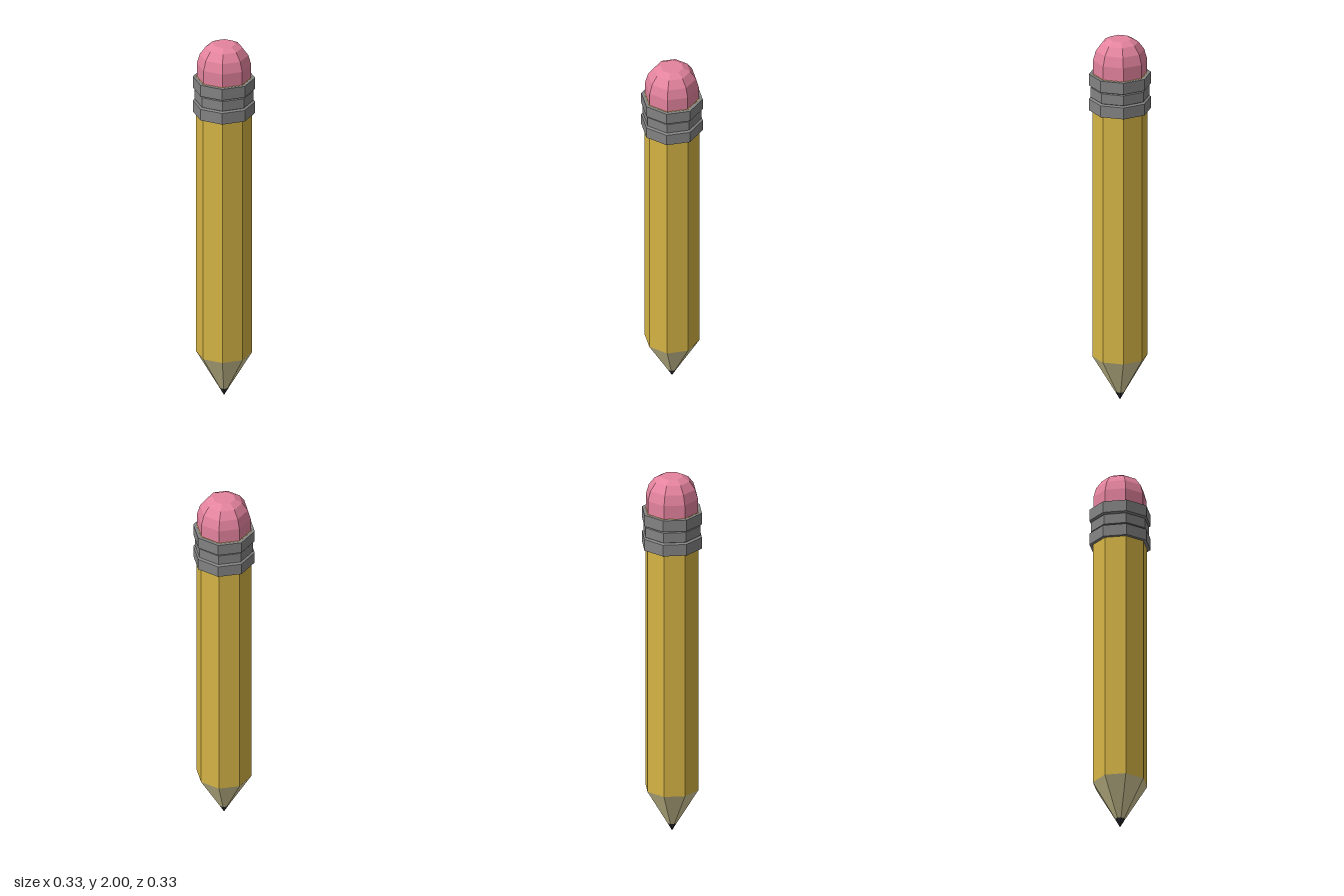
import * as THREE from 'three';

const SIDES = 8;

// Faceted eight-sided part turned from a [radius, y] profile, listed bottom to top.
function turned(name, color, profile) {
  const points = profile.map(([r, y]) => new THREE.Vector2(r, y));
  const material = new THREE.MeshStandardMaterial({ color, flatShading: true });
  const mesh = new THREE.Mesh(new THREE.LatheGeometry(points, SIDES), material);
  mesh.name = name;
  return mesh;
}

export function createModel() {
  const group = new THREE.Group();
  group.name = 'pencil';

  group.add(
    // Sharpened point
    turned('lead', 0x333338, [[0, 0], [0.026, 0.045]]),
    turned('sharpenedWood', 0xdbd19c, [[0.026, 0.045], [0.145, 0.245]]),

    // Painted shaft, running up inside the metal band
    turned('shaft', 0xd6b545, [[0.145, 0.245], [0.145, 1.811], [0, 1.811]]),

    // Metal band: two raised rings with a recessed ring and grooves between
    turned('metalBand', 0x858484, [
      [0.144, 1.61], [0.163, 1.61], [0.163, 1.673],
      [0.148, 1.679], [0.155, 1.683], [0.155, 1.737], [0.148, 1.741],
      [0.163, 1.747], [0.163, 1.81], [0.144, 1.81],
    ]),

    // Rounded eraser
    turned('eraser', 0xe5849f, [
      [0.142, 1.81], [0.142, 1.885], [0.127, 1.938], [0.096, 1.98], [0.059, 2], [0, 2],
    ]),
  );
  return group;
}
